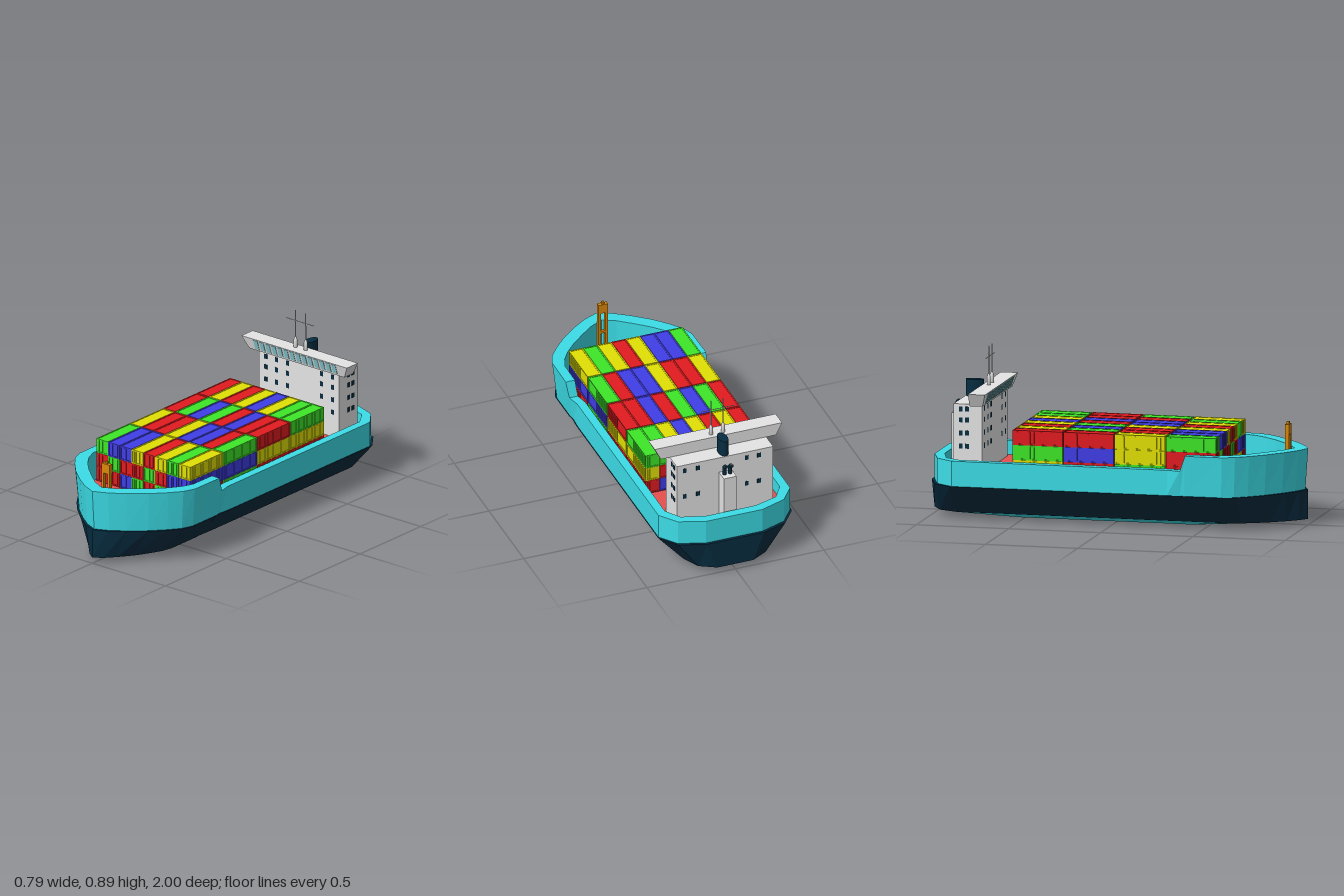
import * as THREE from 'three';
import { mergeGeometries } from 'three/addons/utils/BufferGeometryUtils.js';

const mat = (name, color) => {
  const m = new THREE.MeshStandardMaterial({ color });
  m.name = name;
  return m;
};

// Faceted skin through closed rings of [x, y, z] points, with optional end caps
function loft(rings, capStart, capEnd) {
  const pos = [];
  const tri = (a, b, c) => pos.push(...a, ...b, ...c);
  const n = rings[0].length;
  for (let r = 0; r < rings.length - 1; r++) {
    const a = rings[r], b = rings[r + 1];
    for (let i = 0; i < n; i++) {
      const j = (i + 1) % n;
      tri(a[i], a[j], b[j]);
      tri(a[i], b[j], b[i]);
    }
  }
  const cap = (ring, up) => {
    const c = [0, 1, 2].map(k => ring.reduce((s, p) => s + p[k], 0) / n);
    ring.forEach((p, i) => {
      const q = ring[(i + 1) % n];
      up ? tri(c, p, q) : tri(c, q, p);
    });
  };
  if (capStart) cap(rings[0], false);
  if (capEnd) cap(rings[rings.length - 1], true);
  const g = new THREE.BufferGeometry();
  g.setAttribute('position', new THREE.Float32BufferAttribute(pos, 3));
  g.computeVertexNormals();
  return g;
}

// Mirrors a half outline (bow to stern) into a closed ring
const ring = (half, fn) => {
  const right = half.map(([x, z]) => fn(x, z));
  const left = right.slice(1, -1).reverse().map(([x, y, z]) => [-x, y, z]);
  return [...right, ...left];
};

const box = (w, h, d, x, y, z) => new THREE.BoxGeometry(w, h, d).translate(x, y, z);

// Container: recessed core, edge frame and upright ribs
function containerGeometry() {
  const W = 0.078, H = 0.0785, L = 0.272, t = 0.007;
  const parts = [box(W - 0.006, H - 0.004, L - 0.006, 0, H / 2, 0)];
  for (const a of [-1, 1]) for (const b of [-1, 1]) {
    parts.push(box(t, H, t, a * (W - t) / 2, H / 2, b * (L - t) / 2));
    parts.push(box(t, t, L, a * (W - t) / 2, H / 2 + b * (H - t) / 2, 0));
    parts.push(box(W, t, t, 0, H / 2 + a * (H - t) / 2, b * (L - t) / 2));
  }
  for (const s of [-1, 1]) {
    for (let i = -2; i <= 2; i++) parts.push(box(0.005, H - 0.016, 0.005, i * 0.0115, H / 2, s * (L / 2 - 0.0037)));
    for (let i = -5; i <= 5; i++) parts.push(box(0.005, H - 0.016, 0.007, s * (W / 2 - 0.0037), H / 2, i * 0.022));
  }
  return mergeGeometries(parts);
}

export function createModel() {
  const ship = new THREE.Group();
  ship.name = 'containerShip';
  const teal = mat('hull teal', 0x3cdce6), navy = mat('dark navy', 0x062c40);
  const deckRed = mat('deck red', 0xe65050), grey = mat('cabin grey', 0xe4e4e4);
  const glass = mat('bridge glass', 0x8cd0d8), orange = mat('crane orange', 0xdc8808);
  const paint = {
    R: mat('container red', 0xe21c20), Y: mat('container yellow', 0xe0e004),
    G: mat('container green', 0x3ee628), B: mat('container blue', 0x403ee6),
  };
  const add = (name, geo, material, x = 0, y = 0, z = 0, parent = ship) => {
    const m = new THREE.Mesh(geo, material);
    m.name = name;
    m.position.set(x, y, z);
    parent.add(m);
    return m;
  };

  // Hull outlines: rim and inside of the bulwark
  const outer = [[0, 1], [0.08, 0.965], [0.16, 0.91], [0.25, 0.835], [0.32, 0.76], [0.37, 0.695], [0.395, 0.63],
    [0.397, 0.43], [0.388, 0.4], [0.372, 0.33], [0.372, -0.84], [0.3, -0.935], [0.16, -0.985], [0, -0.985]];
  const inner = [[0, 0.925], [0.07, 0.89], [0.14, 0.835], [0.22, 0.765], [0.28, 0.7], [0.32, 0.64], [0.343, 0.58],
    [0.345, 0.43], [0.34, 0.4], [0.325, 0.33], [0.325, -0.81], [0.27, -0.895], [0.14, -0.935], [0, -0.935]];
  const rimY = z => (z > 0.415 ? 0.408 : 0.325);
  const DECK = 0.25;
  const low = outer.map(([x, z]) => [Math.min(x * (z > 0.35 ? 0.945 : 1), 0.372), z * (z > 0 ? 0.985 : 1)]);
  const wide = low.map(([x, z]) => [x * 1.014, z * 1.0152]);
  const lowRing = ring(low, (x, z) => [x, 0.19, z]);
  const chine = ring(wide, (x, z) => [x * 0.628, 0.032, z]);

  add('upperHull', loft([lowRing, ring(outer, (x, z) => [x, rimY(z), z]),
    ring(inner, (x, z) => [x, rimY(z), z]), ring(inner, (x, z) => [x, DECK, z])]), teal);
  add('lowerHull', loft([chine, ring(wide, (x, z) => [x, 0.19, z]), lowRing]), navy);
  add('keel', loft([ring(wide, (x, z) => [x * 0.37, 0, z * 0.62]), chine], true, false), teal);
  add('deck', loft([ring(inner, (x, z) => [x, DECK - 0.002, z]), ring(inner, (x, z) => [x, DECK, z])], false, true), deckRed);

  // Container stacks: layers from the deck up, rows from stern to bow
  const layers = [
    ['YBGRYGBR', 'RGYBRBGR', 'GYRBGRYG', 'RRBGRGYR'],
    ['GBYRGBRY', 'BYGRBGRY', 'YRBGYRGB', 'RGRRGRBB'],
    ['RYRYBYGG', 'RGBGRBRR', 'YRRYBBRG', 'GBBYRYGY'],
  ];
  const cargo = new THREE.Group();
  cargo.name = 'containers';
  ship.add(cargo);
  const cGeo = containerGeometry();
  layers.forEach((rows, l) => rows.forEach((row, r) => [...row].forEach((c, i) =>
    add('container', cGeo, paint[c], (i - 3.5) * 0.0805, DECK + 0.008 + l * 0.0795, -0.387 + r * 0.277, cargo))));

  // Cabin tower and rear casing
  add('cabin', box(0.545, 0.615 - DECK, 0.155, 0.002, (0.615 + DECK) / 2, -0.7775), grey);
  add('rearCasing', box(0.072, 0.525 - DECK, 0.08, 0, (0.525 + DECK) / 2, -0.885), grey);

  // Bridge with flared wings
  const rect = (x, y, z0, z1) => [[x, y, z0], [x, y, z1], [-x, y, z1], [-x, y, z0]];
  add('bridge', loft([rect(0.325, 0.614, -0.685, -0.755), rect(0.36, 0.683, -0.663, -0.755)], true, true), grey);
  const pane = new THREE.BoxGeometry(0.028, 0.055, 0.003);
  for (let i = 0; i < 14; i++) {
    add('bridgeWindow', pane, glass, (i - 6.5) * 0.041, 0.651, -0.6725).rotation.x = Math.atan2(0.022, 0.069);
  }

  // Cabin windows
  const rowsY = [0.588, 0.53, 0.46, 0.39];
  const port = new THREE.BoxGeometry(0.02, 0.026, 0.003);
  for (const y of rowsY) {
    for (const x of [-0.224, -0.15, -0.075, 0.158, 0.233]) add('cabinWindow', port, navy, x, y, -0.7);
    for (const x of [-0.2705, 0.2745]) for (const z of [-0.782, -0.816])
      add('sideWindow', port, navy, x, y, z).rotation.y = Math.PI / 2;
  }
  for (const y of [0.58, 0.42]) for (const x of [-0.19, -0.12, 0.155, 0.23]) add('rearWindow', port, navy, x, y, -0.855);

  // Funnel
  const funnel = add('funnel', new THREE.CylinderGeometry(0.026, 0.026, 0.092, 24), navy, -0.004, 0.659, -0.806);
  funnel.scale.z = 1.85;

  // Twin exhaust pipes bending aft
  for (const x of [-0.016, 0.016]) {
    const path = new THREE.CatmullRomCurve3([[0.52, -0.882], [0.555, -0.882], [0.575, -0.888], [0.582, -0.906]]
      .map(([y, z]) => new THREE.Vector3(x, y, z)));
    add('exhaustPipe', new THREE.TubeGeometry(path, 10, 0.011, 10), navy);
    add('exhaustMouth', new THREE.CircleGeometry(0.011, 10), navy, x, 0.582, -0.906).rotation.y = Math.PI;
  }

  // Masts with a shared crossbar
  const mastProfile = [[0, 0], [0.0105, 0], [0.0105, 0.042], [0.005, 0.058], [0.0032, 0.06], [0.0028, 0.208], [0, 0.208]]
    .map(([x, y]) => new THREE.Vector2(x, y));
  for (const x of [-0.039, 0.03]) add('mast', new THREE.LatheGeometry(mastProfile, 12), grey, x, 0.682, -0.722);
  add('mastCrossbar', new THREE.CylinderGeometry(0.002, 0.002, 0.19, 8), grey, -0.01, 0.833, -0.722).rotation.z = Math.PI / 2;

  // Bow crane frame
  const crane = new THREE.Group();
  crane.name = 'bowCrane';
  crane.position.set(0.008, 0, 0.89);
  ship.add(crane);
  for (const s of [-1, 1]) add('craneLeg', box(0.013, 0.26, 0.02, 0, 0, 0), orange, s * 0.02, DECK + 0.13, 0, crane);
  add('craneHead', box(0.055, 0.053, 0.024, 0, 0, 0), orange, 0, 0.507, 0, crane);
  add('craneBrace', box(0.04, 0.014, 0.014, 0, 0, 0), orange, 0, 0.36, 0, crane);
  add('craneCap', box(0.014, 0.014, 0.014, 0, 0, 0), orange, 0, 0.54, 0, crane);

  return ship;
}
